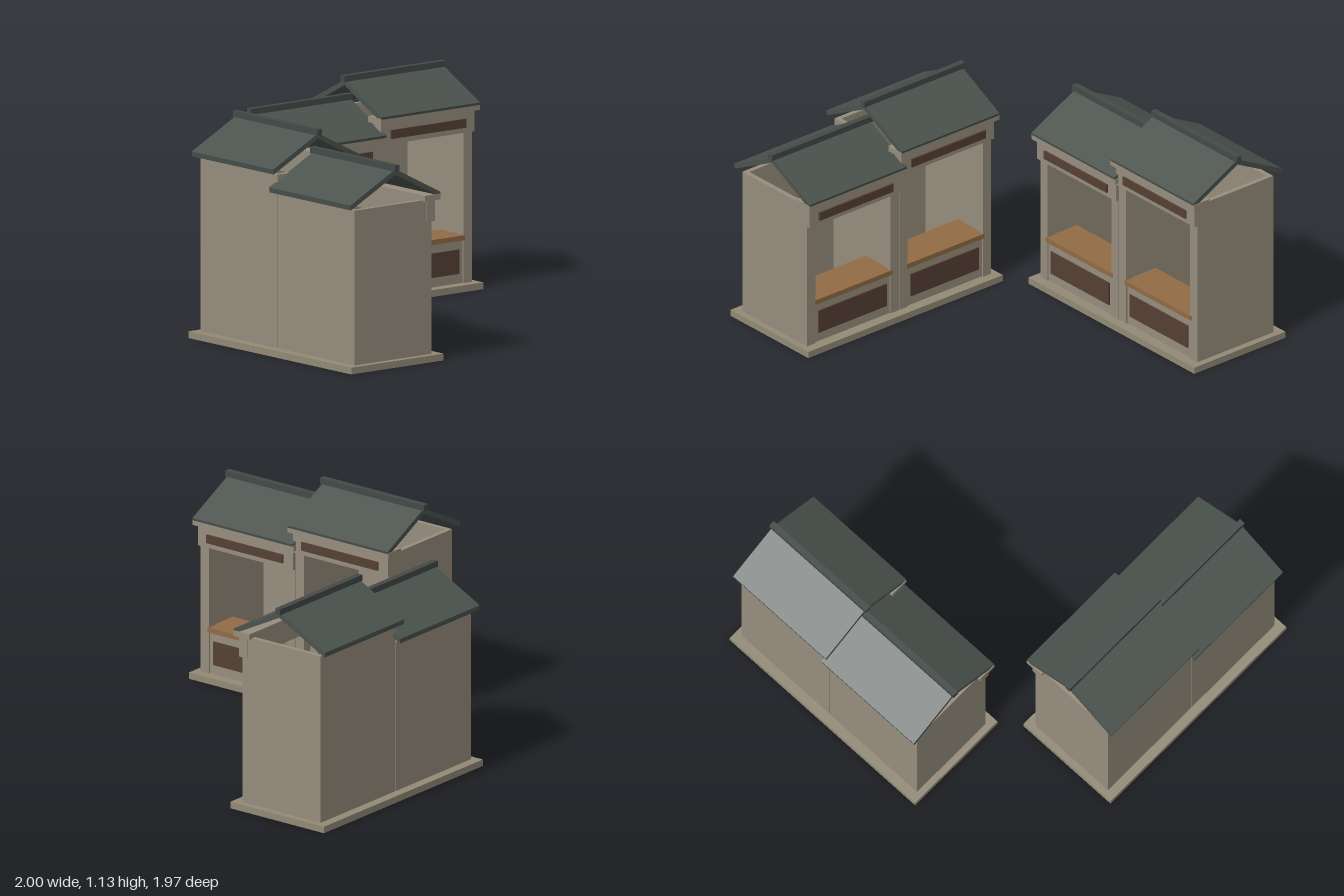
import * as THREE from 'three';

const mat = (name, color) => {
  const m = new THREE.MeshStandardMaterial({ color });
  m.name = name;
  return m;
};

export function createModel() {
  const stone = mat('stone', 0x968d7d);
  const plinthStone = mat('plinth stone', 0x928a76);
  const slate = mat('slate', 0x4b534e);
  const ridgeSlate = mat('ridge slate', 0x434a47);
  const wood = mat('counter wood', 0x916b45);
  const darkWood = mat('dark wood', 0x554034);

  // Box given by its limits on each axis
  function box(parent, name, material, [x0, x1], [y0, y1], [z0, z1]) {
    const mesh = new THREE.Mesh(new THREE.BoxGeometry(x1 - x0, y1 - y0, z1 - z0), material);
    mesh.position.set((x0 + x1) / 2, (y0 + y1) / 2, (z0 + z1) / 2);
    mesh.name = name;
    parent.add(mesh);
    return mesh;
  }

  // Open gabled roof: a chevron section swept along x
  function gableRoof(parent, width, eave) {
    const t = 0.028, run = 0.295, top = eave + 0.185;
    const shape = new THREE.Shape([
      [0, top], [-run, eave + 0.034], [-run + 0.004, eave + 0.008],
      [0, top - t], [run - 0.004, eave + 0.008], [run, eave + 0.034],
    ].map(([x, y]) => new THREE.Vector2(x, y)));
    const geo = new THREE.ExtrudeGeometry(shape, { depth: width, bevelEnabled: false });
    geo.translate(0, 0, -width / 2);
    geo.rotateY(Math.PI / 2);
    const roof = new THREE.Mesh(geo, slate);
    roof.name = 'roof';
    parent.add(roof);
    box(parent, 'ridgeCap', ridgeSlate, [-width / 2 - 0.012, width / 2 + 0.012], [top - 0.01, top + 0.023], [-0.016, 0.016]);
  }

  // One stall, open at the front (+z); eave is the height of the wall tops
  function stall(name, eave) {
    const g = new THREE.Group();
    g.name = name;
    const w = 0.304, d = 0.252, floor = 0.035, post = 0.055, wall = 0.025;
    box(g, 'backWall', stone, [-w + wall, w - wall], [floor, eave], [-d, -d + wall]);
    for (const s of [-1, 1]) {
      const span = (a, b) => [Math.min(s * a, s * b), Math.max(s * a, s * b)];
      box(g, 'sideWall', stone, span(w - wall, w), [floor, eave], [-d, d - 0.05]);
      box(g, 'frontPost', stone, span(w - post, w), [floor, eave], [d - 0.05, d]);
    }
    // Counter and its front
    box(g, 'counterFront', stone, [-w + post, w - post], [floor, 0.255], [d - 0.04, d - 0.008]);
    box(g, 'counterPanel', darkWood, [-0.226, 0.226], [0.085, 0.21], [d - 0.008, d - 0.001]);
    box(g, 'counterTop', wood, [-0.257, 0.257], [0.255, 0.281], [0.05, d + 0.005]);
    // Lintel, sign board and eave beam
    box(g, 'lintel', stone, [-w - 0.002, w + 0.002], [eave - 0.115, eave], [0.22, 0.272]);
    box(g, 'signBoard', darkWood, [-0.245, 0.245], [eave - 0.088, eave - 0.043], [0.272, 0.2815]);
    box(g, 'eaveBeam', stone, [-0.325, 0.325], [eave - 0.004, eave + 0.026], [0.19, 0.293]);
    gableRoof(g, 0.645, eave);
    return g;
  }

  // A row of two stalls on a shared plinth, one lower than the other
  function stallRow(name) {
    const row = new THREE.Group();
    row.name = name;
    box(row, 'plinth', plinthStone, [-0.645, 0.645], [0, 0.035], [-0.302, 0.302]);
    const low = stall('lowStall', 0.83);
    low.position.x = -0.306;
    const tall = stall('tallStall', 0.926);
    tall.position.x = 0.306;
    row.add(low, tall);
    return row;
  }

  const model = new THREE.Group();
  model.name = 'marketStalls';
  const back = stallRow('backRow');
  back.position.set(0.353, 0, -0.688);
  const side = stallRow('sideRow');
  side.rotation.y = Math.PI / 2;
  side.position.set(-0.698, 0, 0.34);
  model.add(back, side);
  return model;
}
